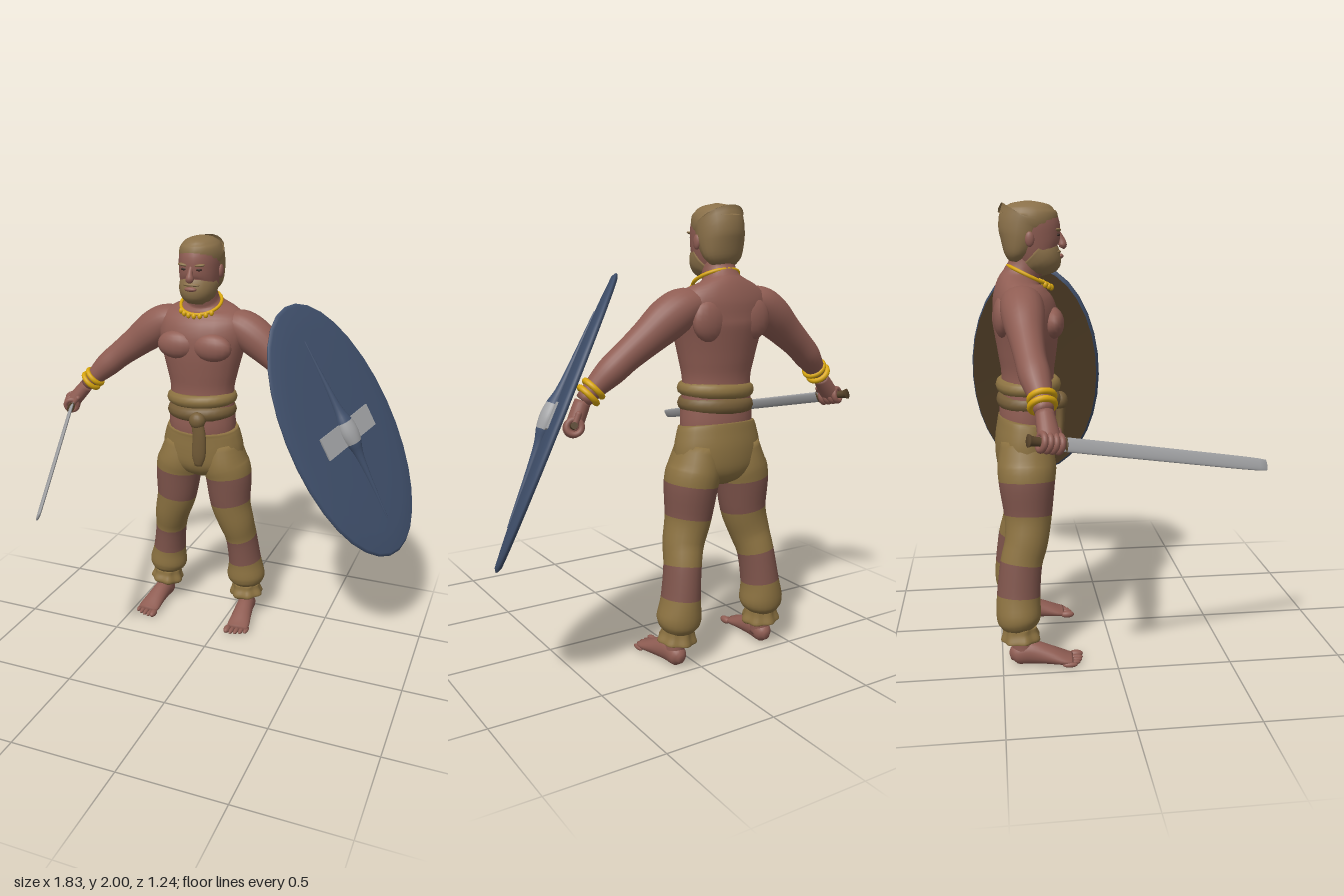
import * as THREE from 'three';

const V = (x, y, z) => new THREE.Vector3(x, y, z);
const UP = V(0, 1, 0), FRONT = V(0, 0, 1);
const CX = -0.155; // the figure's own mirror line

const colours = {
  skin: 0x8f5d53, tanCloth: 0x8c7241, rustCloth: 0x7e544b, beltCloth: 0x755d38, hair: 0x8a7049,
  gold: 0xd8a60c, metal: 0xa2a3a5, shieldBlue: 0x40506c, wood: 0x57432a, dark: 0x3a2822,
};

export function createModel() {
  const model = new THREE.Group();
  model.name = 'shieldBearer';
  const M = {};
  for (const [name, color] of Object.entries(colours)) {
    M[name] = new THREE.MeshStandardMaterial({ color });
    M[name].name = name;
  }

  function add(name, geo, mat, parent = model) {
    const mesh = new THREE.Mesh(geo, mat);
    mesh.name = name;
    parent.add(mesh);
    return mesh;
  }

  // Smooth skin over elliptical rings; row = [x, y, z, radiusA, radiusB, material index from here on]
  function loft(name, rows, mats, { ref = FRONT, sides = 22, steps = 4, wave = 0, parent = model } = {}) {
    const path = new THREE.CatmullRomCurve3(rows.map(r => V(r[0], r[1], r[2])), false, 'catmullrom');
    const size = new THREE.CatmullRomCurve3(rows.map(r => V(r[3], r[4], 0)), false, 'catmullrom');
    const n = (rows.length - 1) * steps, pos = [], idx = [];
    const geo = new THREE.BufferGeometry();
    for (let i = 0; i <= n; i++) {
      const p = path.getPoint(i / n), s = size.getPoint(i / n), t = path.getTangent(i / n);
      const u = t.clone().cross(ref).normalize(), v = u.clone().cross(t);
      for (let j = 0; j < sides; j++) {
        const a = j / sides * Math.PI * 2, k = 1 + wave * Math.sin(a * 7);
        const q = p.clone().addScaledVector(u, Math.max(s.x, 0.001) * k * Math.cos(a))
          .addScaledVector(v, Math.max(s.y, 0.001) * k * Math.sin(a));
        pos.push(q.x, q.y, q.z);
      }
    }
    for (const t of [0, 1]) pos.push(...path.getPoint(t).toArray());
    const c0 = (n + 1) * sides, at = (i, j) => i * sides + j % sides;
    for (let i = 0; i < n; i++) {
      const start = idx.length;
      for (let j = 0; j < sides; j++) {
        if (i === 0) idx.push(c0, at(0, j), at(0, j + 1));
        idx.push(at(i, j), at(i + 1, j), at(i, j + 1), at(i, j + 1), at(i + 1, j), at(i + 1, j + 1));
        if (i === n - 1) idx.push(c0 + 1, at(n, j + 1), at(n, j));
      }
      geo.addGroup(start, idx.length - start, rows[Math.floor(i / steps)][5] || 0);
    }
    geo.setAttribute('position', new THREE.Float32BufferAttribute(pos, 3));
    geo.setIndex(idx);
    geo.computeVertexNormals();
    return add(name, geo, mats, parent);
  }
  // Vertical loft on the mirror line; row = [y, z, radiusX, radiusZ]
  const column = (name, rows, mat) => loft(name, rows.map(([y, z, a, b]) => [CX, y, z, a, b]), [mat]);
  function blob(name, mat, p, s) {
    const m = add(name, new THREE.SphereGeometry(1, 16, 12), mat);
    m.position.set(...p);
    m.scale.set(...s);
    return m;
  }
  function ring(name, mat, p, axis, r, tube) {
    const m = add(name, new THREE.TorusGeometry(r, tube, 10, 28), mat);
    m.position.copy(p);
    m.quaternion.setFromUnitVectors(FRONT, axis);
    return m;
  }

  // Torso and neck
  column('torso', [[1.02, -0.365, 0.17, 0.12], [1.1, -0.362, 0.172, 0.125], [1.25, -0.36, 0.163, 0.115],
    [1.35, -0.36, 0.182, 0.127], [1.45, -0.362, 0.208, 0.14], [1.53, -0.37, 0.23, 0.142],
    [1.6, -0.385, 0.232, 0.122], [1.65, -0.388, 0.18, 0.1], [1.685, -0.38, 0.09, 0.08],
    [1.73, -0.362, 0.073, 0.073], [1.82, -0.345, 0.07, 0.075]], M.skin);

  // Head, hair and beard
  column('head', [[1.7, -0.27, 0.04, 0.04], [1.73, -0.285, 0.074, 0.083], [1.78, -0.315, 0.088, 0.105],
    [1.84, -0.33, 0.096, 0.123], [1.9, -0.338, 0.098, 0.127], [1.95, -0.34, 0.088, 0.112],
    [1.985, -0.342, 0.05, 0.065]], M.skin);
  column('hair', [[1.745, -0.4, 0.06, 0.03], [1.78, -0.395, 0.09, 0.06], [1.84, -0.378, 0.103, 0.095],
    [1.9, -0.364, 0.105, 0.112], [1.93, -0.347, 0.103, 0.131], [1.965, -0.345, 0.086, 0.112],
    [1.988, -0.345, 0.055, 0.075], [2, -0.345, 0.008, 0.01]], M.hair);
  column('beard', [[1.692, -0.265, 0.035, 0.035], [1.715, -0.272, 0.066, 0.07], [1.74, -0.285, 0.083, 0.087],
    [1.762, -0.302, 0.09, 0.097], [1.785, -0.325, 0.093, 0.09]], M.hair);
  column('nose', [[1.87, -0.222, 0.01, 0.012], [1.84, -0.207, 0.013, 0.016], [1.815, -0.2, 0.02, 0.019],
    [1.803, -0.206, 0.012, 0.01]], M.skin);
  blob('moustache', M.hair, [CX, 1.787, -0.222], [0.042, 0.009, 0.015]);
  blob('lips', M.skin, [CX, 1.768, -0.21], [0.03, 0.011, 0.014]);

  // Trousers: seat
  column('trouserSeat', [[0.8, -0.375, 0.06, 0.06], [0.83, -0.375, 0.15, 0.105], [0.88, -0.375, 0.208, 0.13],
    [0.96, -0.375, 0.212, 0.135], [1.03, -0.37, 0.197, 0.13], [1.065, -0.365, 0.184, 0.128]], M.tanCloth);

  const limbs = {};
  for (const [side, s] of [['left', 1], ['right', -1]]) {
    const X = d => CX + s * d;
    const flip = rows => rows.map(([d, ...rest]) => [X(d), ...rest]);

    // Chest, shoulder blades and face pairs
    blob(side + 'Pectoral', M.skin, [X(0.09), 1.49, -0.253], [0.1, 0.068, 0.05]);
    blob(side + 'ShoulderBlade', M.skin, [X(0.11), 1.52, -0.465], [0.085, 0.09, 0.04]);
    blob(side + 'Ear', M.skin, [X(0.1), 1.84, -0.345], [0.012, 0.032, 0.02]);
    blob(side + 'Eye', M.dark, [X(0.037), 1.858, -0.222], [0.015, 0.006, 0.01]);
    blob(side + 'Brow', M.hair, [X(0.04), 1.878, -0.222], [0.028, 0.007, 0.014]).rotation.z = s * 0.12;

    // Striped trouser leg
    loft(side + 'TrouserLeg', flip([[0.105, 0.98, -0.375, 0.09, 0.11], [0.12, 0.88, -0.375, 0.113, 0.128],
      [0.137, 0.81, -0.377, 0.119, 0.124, 1], [0.15, 0.66, -0.375, 0.104, 0.105],
      [0.18, 0.55, -0.385, 0.092, 0.095], [0.2, 0.455, -0.41, 0.081, 0.092, 1],
      [0.218, 0.315, -0.425, 0.085, 0.095], [0.226, 0.23, -0.426, 0.1, 0.098],
      [0.229, 0.19, -0.423, 0.088, 0.088], [0.23, 0.165, -0.42, 0.062, 0.064]]), [M.tanCloth, M.rustCloth]);
    loft(side + 'TrouserCuff', flip([[0.23, 0.178, -0.42, 0.07, 0.07], [0.231, 0.15, -0.42, 0.074, 0.074],
      [0.233, 0.115, -0.418, 0.086, 0.084], [0.234, 0.105, -0.418, 0.06, 0.06]]), [M.tanCloth], { wave: 0.06, sides: 42 });

    // Bare foot
    loft(side + 'Ankle', flip([[0.233, 0.17, -0.418, 0.042, 0.048], [0.236, 0.1, -0.412, 0.041, 0.048],
      [0.239, 0.04, -0.405, 0.043, 0.052]]), [M.skin]);
    loft(side + 'Foot', flip([[0.238, 0.038, -0.467, 0.015, 0.018], [0.238, 0.046, -0.44, 0.04, 0.045],
      [0.242, 0.055, -0.38, 0.044, 0.053], [0.25, 0.041, -0.3, 0.05, 0.04],
      [0.256, 0.025, -0.23, 0.057, 0.025], [0.257, 0.019, -0.195, 0.053, 0.018]]), [M.skin], { ref: UP });
    for (let i = 0; i < 5; i++) {
      const r = i === 0 ? 0.017 : 0.012;
      blob(side + 'Toe', M.skin, [X(0.212 + i * 0.0235), r, -0.176 - i * i * 0.002], [r, r, 0.033]);
    }

    // Arm
    loft(side + 'Arm', flip([[0.11, 1.6, -0.388, 0.045, 0.075], [0.19, 1.575, -0.386, 0.083, 0.09],
      [0.27, 1.525, -0.382, 0.091, 0.088], [0.36, 1.455, -0.375, 0.077, 0.072],
      [0.45, 1.385, -0.365, 0.066, 0.063], [0.52, 1.325, -0.352, 0.062, 0.062],
      [0.585, 1.262, -0.336, 0.046, 0.047], [0.635, 1.21, -0.325, 0.033, 0.037]]), [M.skin]);
    limbs[side] = V(X(0.635), 1.21, -0.325);

    // Bracelets
    const along = V(s * 0.7, -0.7, 0.14).normalize();
    for (const [d, y] of [[0.588, 1.257], [0.613, 1.232]]) {
      ring(side + 'Bracelet', M.gold, V(X(d), y, -0.331), along, 0.047, 0.013);
    }
  }

  // Fists closed round a grip
  function fist(side, c, axis) {
    const w = limbs[side], mid = w.clone().lerp(c, 0.5), end = w.clone().lerp(c, 1.25);
    const row = (p, a, b) => [p.x, p.y, p.z, a, b];
    loft(side + 'Palm', [row(w, 0.034, 0.036), row(mid, 0.036, 0.042), row(c, 0.034, 0.045),
      row(end, 0.016, 0.03)], [M.skin], { ref: axis });
    for (let i = 0; i < 4; i++) {
      ring(side + 'Finger', M.skin, c.clone().addScaledVector(axis, (i - 1.5) * 0.024), axis, 0.03, 0.013);
    }
    const thumb = add(side + 'Thumb', new THREE.CapsuleGeometry(0.013, 0.05, 4, 10), M.skin);
    thumb.position.copy(mid).lerp(c, 0.5).addScaledVector(axis, 0.043);
    thumb.quaternion.setFromUnitVectors(UP, c.clone().sub(w).normalize());
  }

  // Sword
  const hilt = V(-0.872, 1.112, -0.31), d = V(0.341, -0.203, 0.918).normalize();
  const onSword = (k, a, b) => [...hilt.clone().addScaledVector(d, k).toArray(), a, b];
  const flat = V(0.49, 0.87, 0);
  fist('right', hilt, d);
  loft('swordBlade', [onSword(0.05, 0.008, 0.029), onSword(0.5, 0.008, 0.029), onSword(0.98, 0.007, 0.027),
    onSword(1.0, 0.003, 0.012)], [M.metal], { ref: flat });
  loft('swordGrip', [onSword(-0.09, 0.02, 0.026), onSword(-0.06, 0.016, 0.018), onSword(0.05, 0.016, 0.02),
    onSword(0.065, 0.018, 0.033)], [M.wood], { ref: flat });

  // Shield, built flat and then turned: length on x, face on y
  const shield = new THREE.Group();
  shield.name = 'shield';
  model.add(shield);
  const a = V(0.457, -0.888, -0.06).normalize(), n = V(0.815, 0.39, 0.437);
  n.addScaledVector(a, -n.dot(a)).normalize();
  const b = n.clone().cross(a);
  shield.quaternion.setFromRotationMatrix(new THREE.Matrix4().makeBasis(a, n, b.clone().negate()));
  shield.position.set(0.585, 1.135, -0.295);
  const disc = (name, pts, mat) => add(name, new THREE.LatheGeometry(pts.map(p => new THREE.Vector2(...p)), 32),
    mat, shield).scale.set(0.65, 1, 0.354);
  disc('shieldBack', [[0, -0.01], [0.5, -0.011], [0.975, -0.014]], M.wood);
  disc('shieldFace', [[0.975, -0.014], [0.995, -0.008], [1, 0], [0.975, 0.01], [0.8, 0.018], [0.5, 0.024], [0, 0.027]], M.shieldBlue);
  loft('shieldSpine', [[-0.47, 0.016, 0, 0.004, 0.008], [-0.25, 0.024, 0, 0.012, 0.014],
    [-0.12, 0.028, 0, 0.024, 0.022], [-0.055, 0.03, 0, 0.042, 0.036, 1], [0, 0.03, 0, 0.05, 0.042, 1],
    [0.055, 0.03, 0, 0.042, 0.036], [0.12, 0.028, 0, 0.024, 0.022], [0.25, 0.024, 0, 0.012, 0.014],
    [0.47, 0.016, 0, 0.004, 0.008]], [M.shieldBlue, M.metal], { ref: UP, parent: shield });
  add('shieldPlate', new THREE.BoxGeometry(0.11, 0.009, 0.365), M.metal, shield).position.y = 0.027;
  const bar = add('shieldGrip', new THREE.CylinderGeometry(0.014, 0.014, 0.2, 12), M.wood, shield);
  bar.rotation.x = Math.PI / 2;
  bar.position.y = -0.07;
  fist('left', V(0.523, 1.105, -0.325), b);

  // Belt rolls, knot and hanging sash
  for (const [y, mat, R, t] of [[1.215, M.tanCloth, 0.148, 0.032], [1.15, M.beltCloth, 0.142, 0.036]]) {
    const roll = ring('beltRoll', mat, V(CX, y, -0.357), UP, R, t);
    roll.rotation.set(Math.PI / 2, 0.05, 0);
    roll.scale.set(1, 0.8, 1);
  }
  blob('beltKnot', M.beltCloth, [-0.125, 1.13, -0.215], [0.042, 0.042, 0.035]);
  loft('sash', [[-0.125, 1.13, -0.21, 0.03, 0.02], [-0.115, 1.05, -0.215, 0.034, 0.022],
    [-0.12, 0.95, -0.222, 0.036, 0.02], [-0.125, 0.89, -0.228, 0.02, 0.012]], [M.beltCloth]);

  // Necklace with beads
  const tilt = Math.PI / 2 + 0.45;
  ring('necklace', M.gold, V(CX, 1.686, -0.345), FRONT, 0.1, 0.008).rotation.x = tilt;
  for (let i = -3; i <= 3; i++) {
    const t = i * 0.28, y = 0.104 * Math.cos(t);
    blob('bead', M.gold, [CX + 0.104 * Math.sin(t), 1.68 + y * Math.cos(tilt), -0.343 + y * Math.sin(tilt)],
      [0.011, 0.014, 0.011]);
  }
  return model;
}
